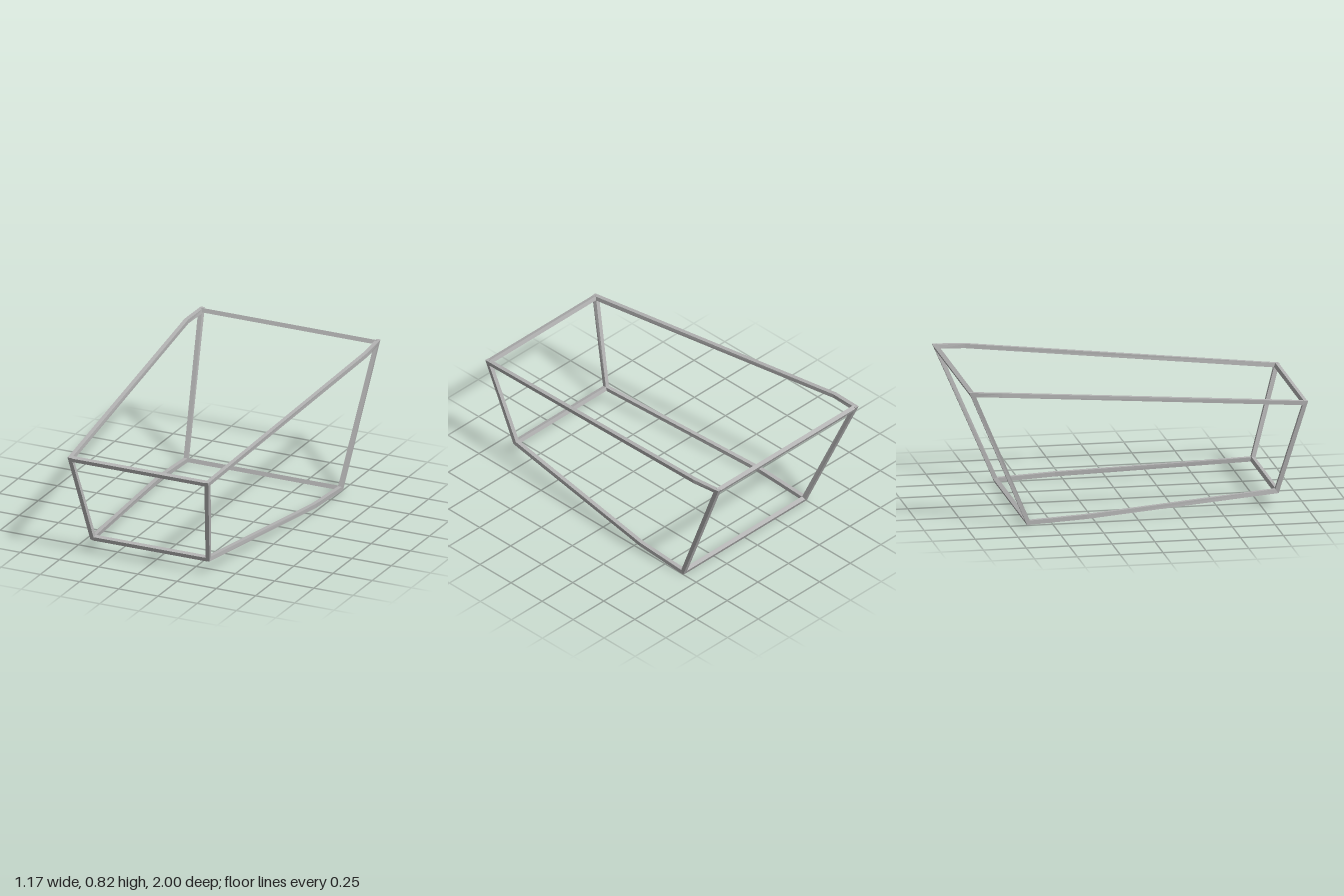
import * as THREE from 'three';

const H = 0.0125; // half the bar thickness

// side outline, clockwise from the top front corner: [x, y, z]
const corners = {
  topFront: [0.436, 0.63, 0.984],
  topKink: [0.572, 0.798, -0.81],
  topBack: [0.56, 0.806, -0.98],
  bottomBack: [0.492, 0.016, -0.642],
  bottomKink: [0.49, 0.034, -0.3],
  bottomFront: [0.367, 0.099, 0.832],
};

// closed square-section loop, mitred at every corner
function sideFrameGeometry(points, side) {
  const n = points.length;
  const normalTo = (a, b) =>
    new THREE.Vector2(b[1] - a[1], a[2] - b[2]).normalize(); // (z, y), outward
  const pos = [];
  const index = [];
  points.forEach((p, i) => {
    const n1 = normalTo(points[(i + n - 1) % n], p);
    const n2 = normalTo(p, points[(i + 1) % n]);
    const m = n1.clone().add(n2).multiplyScalar(H / (1 + n1.dot(n2)));
    for (const [sx, so] of [[1, 1], [-1, 1], [-1, -1], [1, -1]]) {
      pos.push(side * p[0] + sx * H, p[1] + so * m.y, p[2] + so * m.x);
    }
    const j = (i + 1) % n;
    for (let k = 0; k < 4; k++) {
      const l = (k + 1) % 4;
      const a = i * 4 + k, b = i * 4 + l, c = j * 4 + l, d = j * 4 + k;
      index.push(a, d, c, a, c, b);
    }
  });
  const g = new THREE.BufferGeometry();
  g.setAttribute('position', new THREE.Float32BufferAttribute(pos, 3));
  g.setIndex(index);
  const flat = g.toNonIndexed();
  flat.computeVertexNormals();
  return flat;
}

export function createModel() {
  const group = new THREE.Group();
  const metal = new THREE.MeshStandardMaterial({ color: 0xb4b4b4 });
  metal.name = 'grey metal';

  const add = (name, geometry) => {
    const mesh = new THREE.Mesh(geometry, metal);
    mesh.name = name;
    group.add(mesh);
    return mesh;
  };

  // left and right side loops
  add('leftSideFrame', sideFrameGeometry(Object.values(corners), 1));
  add('rightSideFrame', sideFrameGeometry(Object.values(corners), -1));

  // cross bars, tilted with the end uprights
  for (const end of ['Front', 'Back']) {
    const top = corners['top' + end];
    const bottom = corners['bottom' + end];
    const tilt = Math.atan2(top[2] - bottom[2], top[1] - bottom[1]);
    for (const [level, p] of [['top', top], ['bottom', bottom]]) {
      const bar = add(level + end + 'Bar', new THREE.BoxGeometry(2 * p[0], 2 * H, 2 * H));
      bar.position.set(0, p[1], p[2]);
      bar.rotation.x = tilt;
    }
  }
  return group;
}
